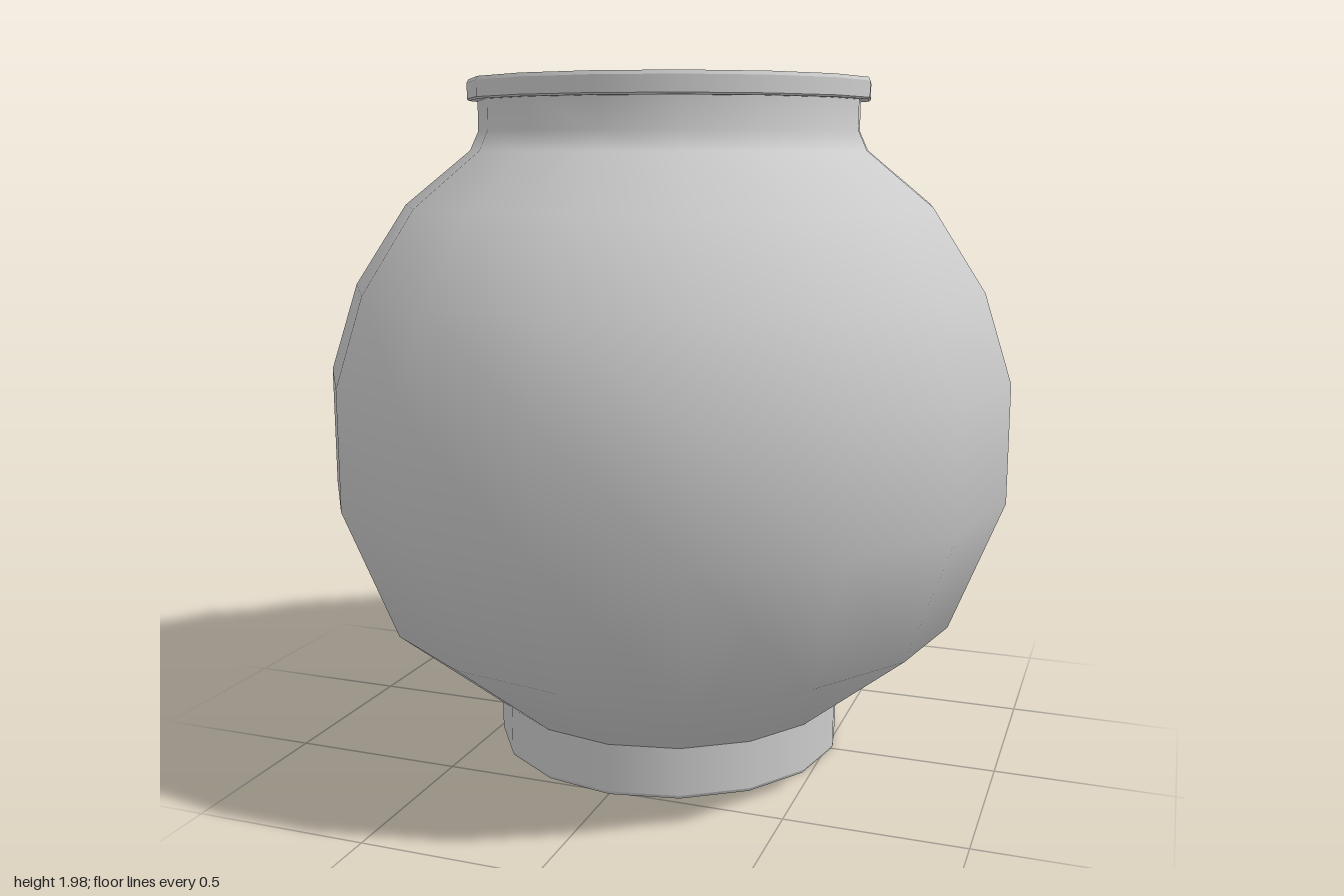
import * as THREE from 'three';

const SIDES = 16;
const material = new THREE.MeshStandardMaterial({ color: 0xcccccc });

// Revolves a [radius, height] profile: upward runs face out, downward runs face in.
function revolve(name, profile) {
  const points = profile.map(([r, y]) => new THREE.Vector2(r, y));
  const mesh = new THREE.Mesh(new THREE.LatheGeometry(points, SIDES), material);
  mesh.name = name;
  return mesh;
}

// One mesh per profile segment, so the edges between them stay sharp.
function revolveSharp(name, profile) {
  const group = new THREE.Group();
  group.name = name;
  for (let i = 0; i < profile.length - 1; i++) {
    group.add(revolve(name + 'Face' + (i + 1), [profile[i], profile[i + 1]]));
  }
  return group;
}

export function createModel() {
  const vase = new THREE.Group();
  vase.name = 'vase';

  // Closed, straight foot ring with a slightly eased lower edge
  vase.add(revolveSharp('foot', [[0, 0], [0.515, 0], [0.52, 0.01], [0.52, 0.15]]));

  // Rounded belly running smoothly through the shoulder into the neck
  vase.add(revolve('body', [
    [0.52, 0.15], [0.85, 0.42], [1, 0.8], [1, 1.14], [0.92, 1.39],
    [0.77, 1.62], [0.58, 1.775], [0.555, 1.83], [0.555, 1.92],
  ]));

  // Flat projecting lip with small bevels
  vase.add(revolveSharp('rim', [
    [0.555, 1.915], [0.58, 1.915], [0.585, 1.92], [0.585, 1.965], [0.58, 1.975], [0.465, 1.975],
  ]));

  // Inner side of the neck
  vase.add(revolve('neckInside', [[0.465, 1.975], [0.465, 1.82]]));

  // Hollow interior, following the belly down to a flat floor
  vase.add(revolve('interior', [
    [0.465, 1.82], [0.52, 1.7], [0.7, 1.55], [0.84, 1.35], [0.91, 1.12],
    [0.91, 0.82], [0.78, 0.48], [0.47, 0.23], [0, 0.2],
  ]));

  return vase;
}
